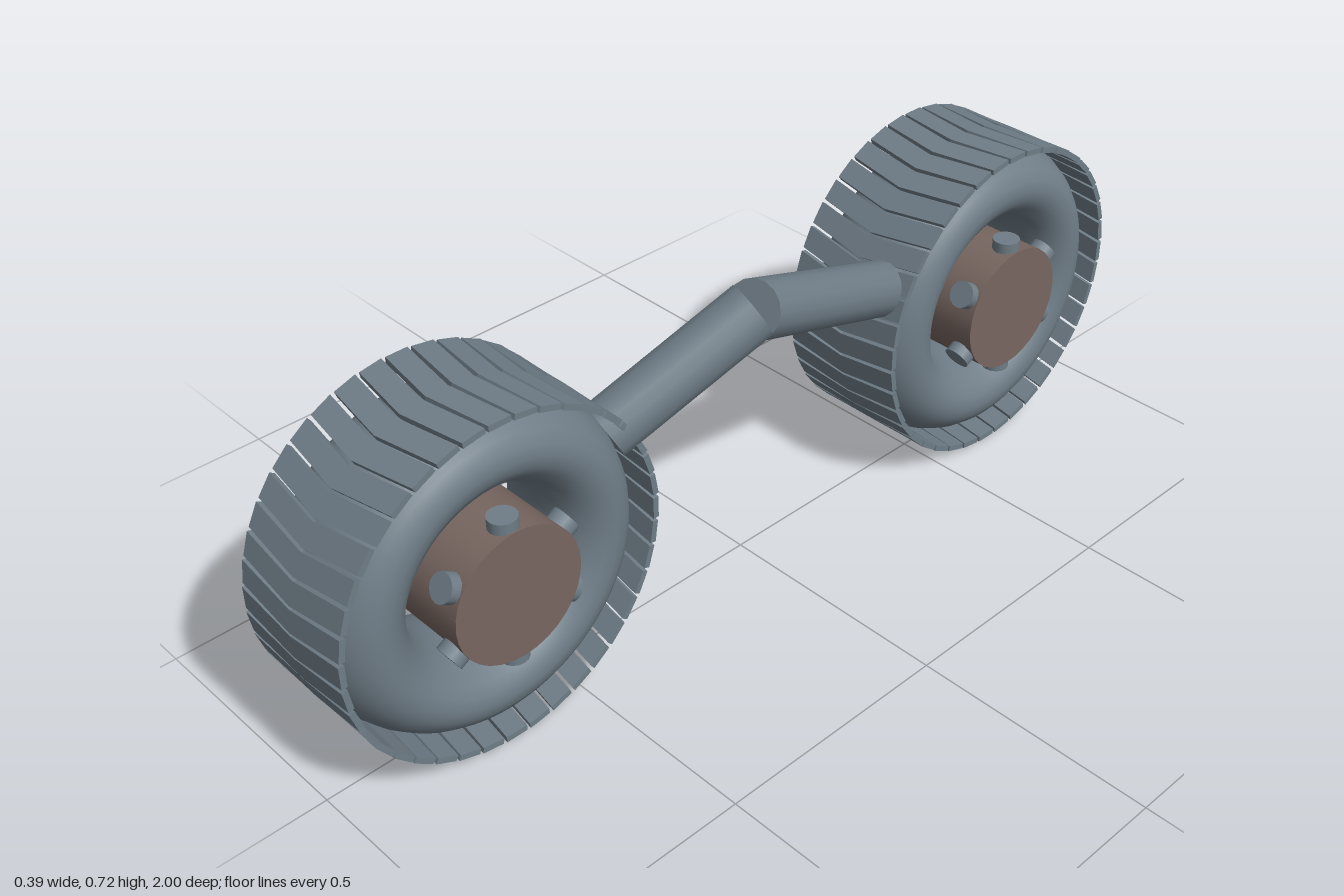
import * as THREE from 'three';
import { mergeGeometries } from 'three/addons/utils/BufferGeometryUtils.js';

const slate = new THREE.MeshStandardMaterial({ color: 0x6f7d87 });
slate.name = 'slateGrey';
const brown = new THREE.MeshStandardMaterial({ color: 0x776660 });
brown.name = 'dullBrown';

function part(name, geometry, material) {
  const mesh = new THREE.Mesh(geometry, material);
  mesh.name = name;
  return mesh;
}

// Chevron tread bars wrapped round the wheel, overhanging the rounded tyre
function treadGeometry(count = 40) {
  let bar = new THREE.BoxGeometry(0.28, 0.046, 0.012, 2, 1, 1);
  const p = bar.attributes.position;
  for (let i = 0; i < p.count; i++) p.setY(i, p.getY(i) + Math.abs(p.getX(i)) * 0.15 - 0.01);
  bar = bar.toNonIndexed();
  bar.computeVertexNormals();
  bar.translate(0, 0, 0.336);
  const bars = [];
  for (let i = 0; i < count; i++) bars.push(bar.clone().rotateX((i / count) * Math.PI * 2));
  return mergeGeometries(bars);
}

function createWheel(name) {
  const wheel = new THREE.Group();
  wheel.name = name;

  // Tyre: a ring widened along the axle
  const tyre = new THREE.TorusGeometry(0.2455, 0.0875, 24, 64);
  tyre.scale(1, 1, 1.58).rotateY(Math.PI / 2);
  wheel.add(part('tyre', tyre, slate));
  wheel.add(part('tread', treadGeometry(), slate));

  // Hub drum
  wheel.add(part('hub', new THREE.CylinderGeometry(0.135, 0.135, 0.338, 32).rotateZ(Math.PI / 2), brown));

  // Radial pins through both ends of the hub
  const pins = [];
  for (const x of [-0.138, 0.138]) {
    for (let i = 0; i < 3; i++) {
      pins.push(new THREE.CylinderGeometry(0.028, 0.028, 0.31, 16)
        .rotateX((i * Math.PI) / 3).translate(x, 0, 0));
    }
  }
  wheel.add(part('hubPins', mergeGeometries(pins), slate));
  return wheel;
}

// Round bar between two points
function strut(name, a, b, radius) {
  const dir = b.clone().sub(a);
  const mesh = part(name, new THREE.CylinderGeometry(radius, radius, dir.length(), 16), slate);
  mesh.position.copy(a).add(b).multiplyScalar(0.5);
  mesh.quaternion.setFromUnitVectors(new THREE.Vector3(0, 1, 0), dir.normalize());
  return mesh;
}

export function createModel() {
  const model = new THREE.Group();
  model.name = 'wheelPair';

  for (const [name, z] of [['frontWheel', 0.656], ['rearWheel', -0.656]]) {
    const wheel = createWheel(name);
    wheel.position.set(-0.03, 0.345, z);
    model.add(wheel);
  }

  // Bent linkage joining the wheels
  const joint = new THREE.Vector3(0.138, 0.672, 0.105);
  model.add(strut('frontArm', new THREE.Vector3(0.055, 0.51, 0.385), joint, 0.057));
  model.add(strut('rearArm', new THREE.Vector3(0.035, 0.475, -0.36), joint, 0.057));
  return model;
}
